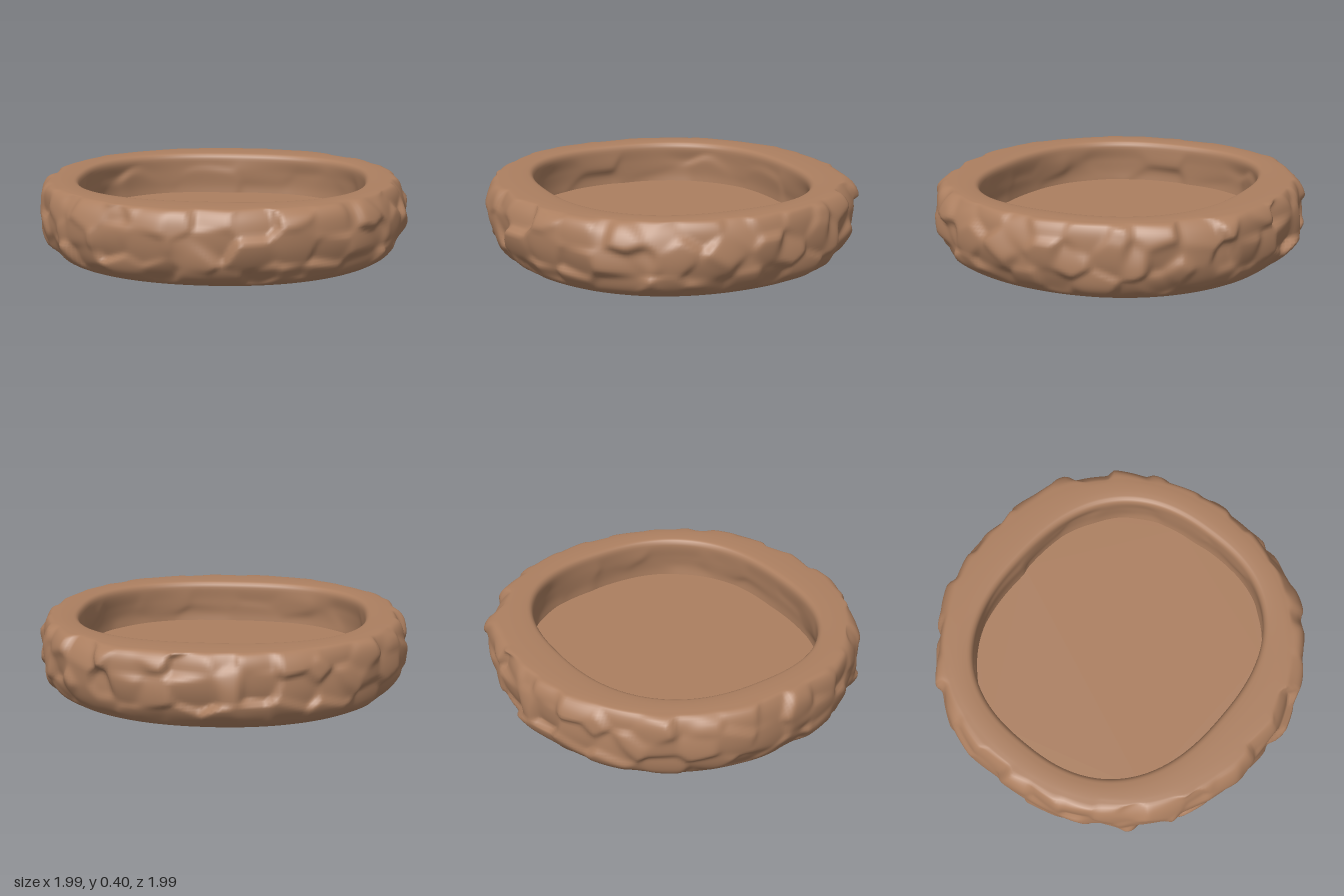
import * as THREE from 'three';

const TAU = Math.PI * 2;
const { lerp, smoothstep } = THREE.MathUtils;

// Repeatable random value from integer cell coordinates
function hash(x, y, z, seed) {
  const s = Math.sin(x * 127.1 + y * 311.7 + z * 74.7 + seed * 53.3) * 43758.5453;
  return s - Math.floor(s);
}

// Hammered surface: softly blended, randomly tilted chips around scattered points
function chips(p, size) {
  const q = p.clone().divideScalar(size);
  const cx = Math.floor(q.x), cy = Math.floor(q.y), cz = Math.floor(q.z);
  let sum = 0, total = 0;
  for (let x = cx - 1; x <= cx + 1; x++)
    for (let y = cy - 1; y <= cy + 1; y++)
      for (let z = cz - 1; z <= cz + 1; z++) {
        const h = (s) => hash(x, y, z, s);
        const dx = q.x - x - 0.15 - 0.7 * h(1);
        const dy = q.y - y - 0.15 - 0.7 * h(2);
        const dz = q.z - z - 0.15 - 0.7 * h(3);
        const weight = Math.exp(-11 * (dx * dx + dy * dy + dz * dz));
        const tilt = (h(4) - 0.5) * dx + (h(5) - 0.5) * dy + (h(6) - 0.5) * dz;
        sum += weight * ((h(7) - 0.5) * 0.8 + tilt * 1.6);
        total += weight;
      }
  return sum / total;
}

// Rounded-square outline point at angle a
function outline(a, rx, rz, n) {
  const s = Math.sin(a), c = Math.cos(a);
  const k = Math.pow(Math.abs(s) ** n + Math.abs(c) ** n, -1 / n);
  return [s * k * rx, c * k * rz];
}

// Flat plate with a rounded-square outline, facing up or down
function plate(name, rx, rz, n, y, dir, material) {
  const points = Array.from({ length: 160 }, (_, i) =>
    new THREE.Vector2(...outline((i / 160) * TAU, rx, rz, n)));
  const geometry = new THREE.ShapeGeometry(new THREE.Shape(points));
  geometry.rotateX(-dir * Math.PI / 2);
  const mesh = new THREE.Mesh(geometry, material);
  mesh.name = name;
  mesh.position.y = y;
  return mesh;
}

// Wall: one cross-section swept round, from underside over the rim to the basin
function wallGeometry() {
  const section = new THREE.CatmullRomCurve3([
    // x radius, height, z radius
    [0.78, 0.002, 0.76], [0.84, 0.002, 0.82], [0.885, 0.014, 0.868], [0.925, 0.05, 0.912],
    [0.96, 0.11, 0.952], [0.981, 0.2, 0.975], [0.978, 0.29, 0.973], [0.962, 0.355, 0.957],
    [0.935, 0.393, 0.928], [0.9, 0.4, 0.89], [0.81, 0.399, 0.745], [0.782, 0.392, 0.713],
    [0.771, 0.372, 0.701], [0.777, 0.28, 0.708], [0.782, 0.2, 0.713], [0.778, 0.145, 0.709],
  ].map((v) => new THREE.Vector3(...v)), false, 'centripetal');
  const rows = 72, cols = 360, positions = [], index = [];
  for (let i = 0; i <= rows; i++) {
    const t = i / rows, c = section.getPointAt(t);
    const outer = smoothstep(c.x, 0.87, 0.955);
    const basin = t > 0.6 ? smoothstep(0.4 - c.y, 0.03, 0.12) : 0;
    const n = t > 0.4 ? lerp(2.45, 2.15, smoothstep(c.x, 0.78, 0.92)) : 2.15;
    for (let j = 0; j < cols; j++) {
      const a = (j / cols) * TAU;
      const [x, z] = outline(a, c.x, c.z, n);
      const p = new THREE.Vector3(x, c.y * 1.2, z);
      const push = outer * 0.042 * chips(p, 0.17) + basin * 0.02 * chips(p, 0.3);
      const k = 1 + push / Math.hypot(x, z);
      positions.push(x * k, c.y, z * k);
      if (i < rows) {
        const next = (j + 1) % cols;
        const p0 = i * cols + j, p1 = i * cols + next;
        index.push(p0, p1, p1 + cols, p0, p1 + cols, p0 + cols);
      }
    }
  }
  const geometry = new THREE.BufferGeometry();
  geometry.setAttribute('position', new THREE.Float32BufferAttribute(positions, 3));
  geometry.setIndex(index);
  geometry.computeVertexNormals();
  return geometry;
}

export function createModel() {
  const clay = new THREE.MeshStandardMaterial({ color: 0xac7f60 });
  clay.name = 'brown clay';

  const bowl = new THREE.Group();
  bowl.name = 'hammeredBowl';

  const wall = new THREE.Mesh(wallGeometry(), clay);
  wall.name = 'wall';
  bowl.add(wall);

  // Basin floor and underside, both tucked into the wall
  bowl.add(plate('basinFloor', 0.8, 0.73, 2.45, 0.16, 1, clay));
  bowl.add(plate('underside', 0.81, 0.79, 2.15, 0.003, -1, clay));
  return bowl;
}
